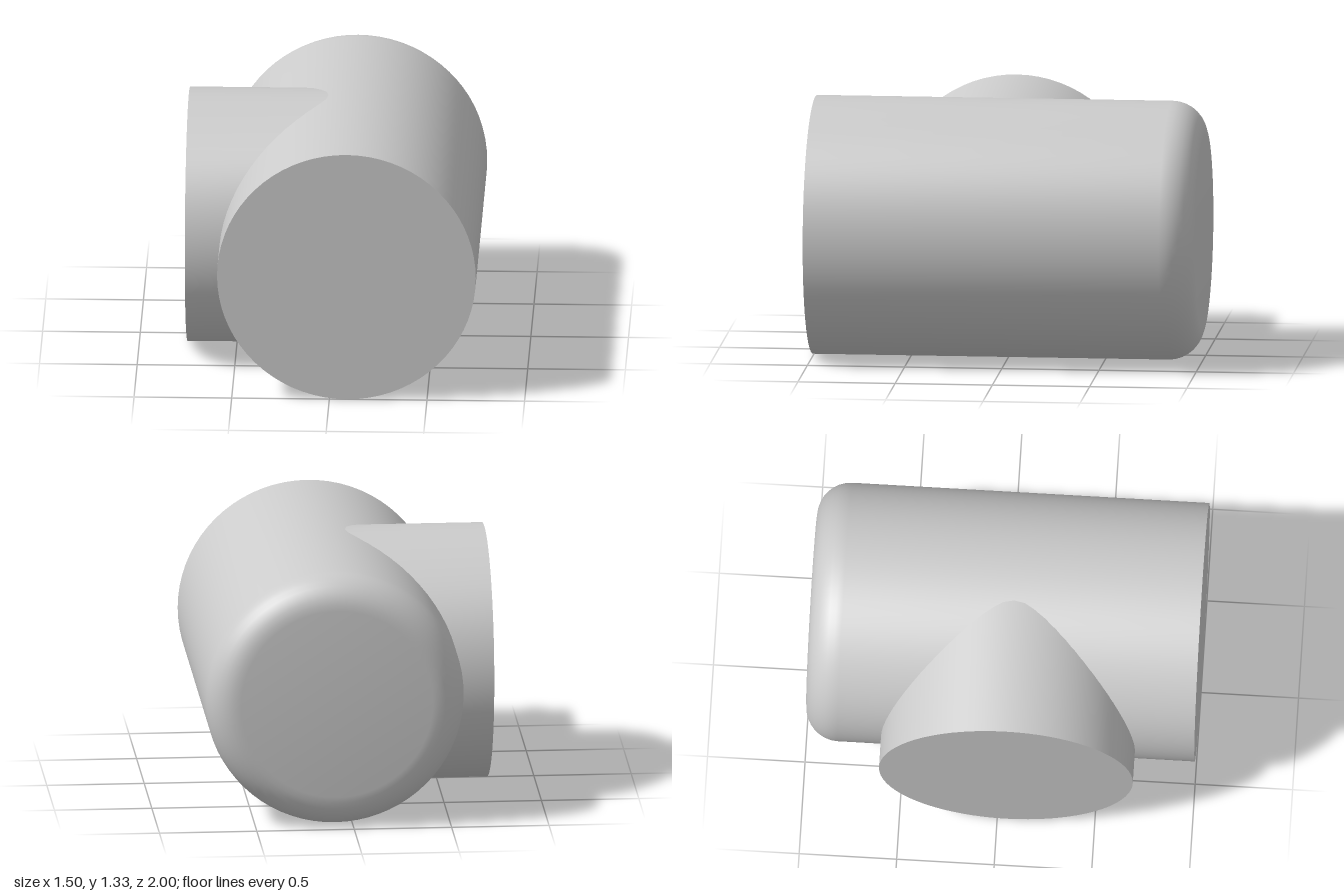
import * as THREE from 'three';
import { toCreasedNormals } from 'three/addons/utils/BufferGeometryUtils.js';

const R = 0.6625;        // main pipe radius
const CX = 0.0875;       // main pipe axis, x
const FILLET = 0.17;     // rounding of the closed back end
const BRANCH_R = 0.651;  // side branch radius
const BRANCH_Z = 0.045;  // side branch axis, z
const BRANCH_END = -0.75;
const SEGMENTS = 72;

function turned(points) {
  return new THREE.LatheGeometry(points.map(([r, h]) => new THREE.Vector2(r, h)), SEGMENTS);
}

export function createModel() {
  const group = new THREE.Group();
  group.name = 'pipeTee';
  const material = new THREE.MeshStandardMaterial({ color: 0xcccccc, side: THREE.DoubleSide });

  const add = (name, geometry) => {
    const mesh = new THREE.Mesh(toCreasedNormals(geometry, 0.6), material);
    mesh.name = name;
    group.add(mesh);
  };

  // Main pipe: flat at the front, rounded at the back
  const profile = [[0, -1]];
  for (let i = 0; i <= 8; i++) {
    const a = (i / 8) * Math.PI / 2;
    profile.push([R - FILLET + FILLET * Math.sin(a), -1 + FILLET - FILLET * Math.cos(a)]);
  }
  profile.push([R, 1], [0, 1]);
  const pipe = turned(profile);
  pipe.rotateX(Math.PI / 2);
  pipe.translate(CX, R, 0);
  add('mainPipe', pipe);

  // Side branch: flat outer end, inner rim trimmed to sit just inside the main pipe
  const branch = turned([[BRANCH_R, 0], [BRANCH_R, CX - BRANCH_END], [0, CX - BRANCH_END]]);
  branch.rotateZ(Math.PI / 2);
  branch.translate(CX, R, BRANCH_Z);
  const pos = branch.attributes.position;
  for (let i = 0; i < pos.count; i++) {
    if (pos.getX(i) > CX - 0.01) {
      const dy = pos.getY(i) - R;
      pos.setX(i, CX - Math.sqrt(R * R - dy * dy) + 0.02);
    }
  }
  add('sideBranch', branch);

  return group;
}
